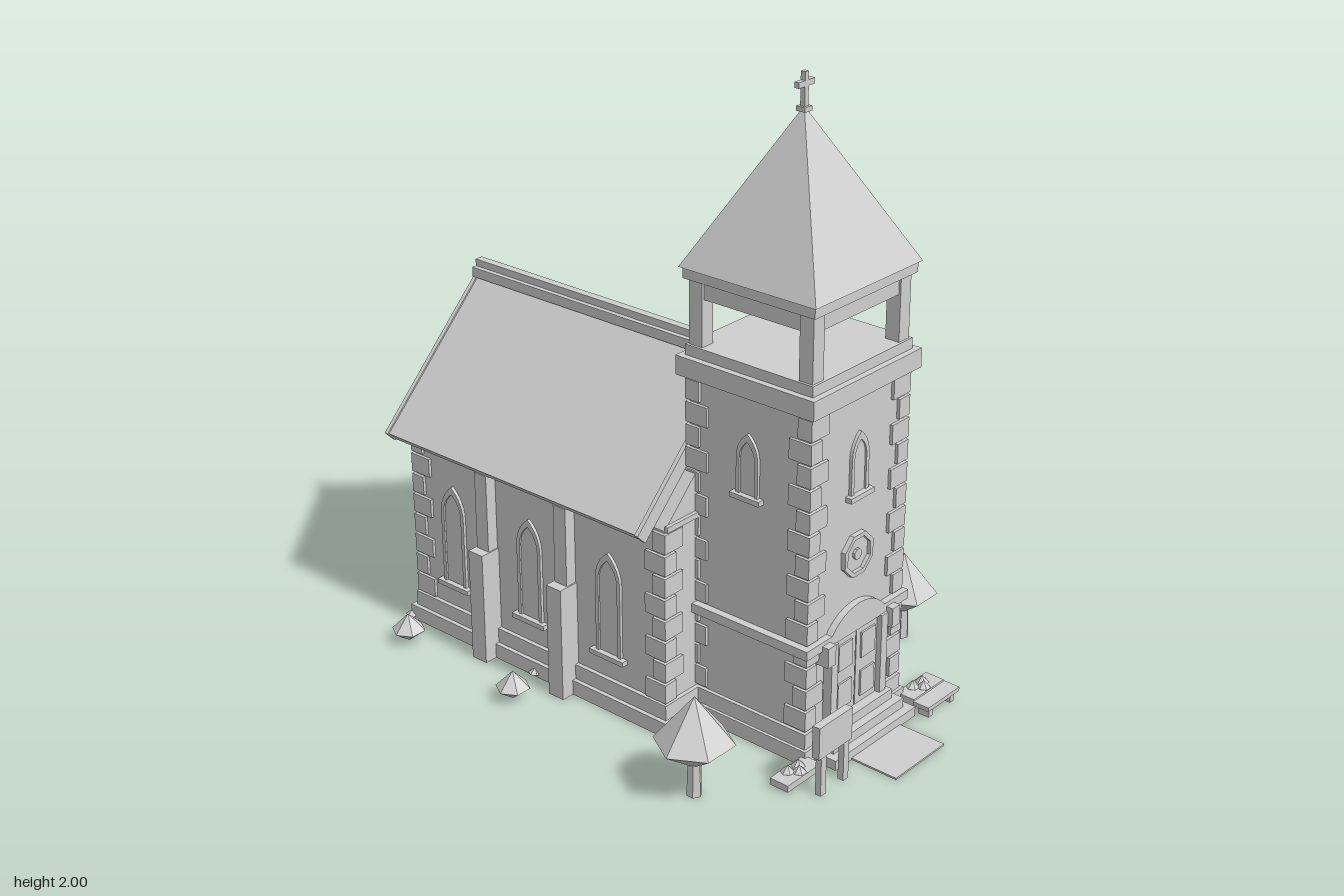
import * as THREE from 'three';

const stone = new THREE.MeshStandardMaterial({ color: 0xcfcfcf, flatShading: true });
stone.name = 'pale stone';

const CX = 0.004; // small sideways offset that centres the whole plot

function add(parent, name, geo, x = 0, y = 0, z = 0, ry = 0) {
  const m = new THREE.Mesh(geo, stone);
  m.name = name;
  m.position.set(x, y, z);
  m.rotation.y = ry;
  parent.add(m);
  return m;
}

// box given by its min and max on each axis
function box(parent, name, x0, x1, y0, y1, z0, z1) {
  return add(parent, name, new THREE.BoxGeometry(x1 - x0, y1 - y0, z1 - z0),
    (x0 + x1) / 2, (y0 + y1) / 2, (z0 + z1) / 2);
}

function group(parent, name, x = 0, y = 0, z = 0, ry = 0) {
  const g = new THREE.Group();
  g.name = name;
  g.position.set(x, y, z);
  g.rotation.y = ry;
  parent.add(g);
  return g;
}

const polygon = pts => new THREE.Shape(pts.map(p => new THREE.Vector2(p[0], p[1])));
const extrude = (shape, depth) =>
  new THREE.ExtrudeGeometry(shape, { depth, bevelEnabled: false, curveSegments: 6 });

// alternating long and short corner stones
function quoins(parent, x0, x1, z0, z1, yBase, count, step) {
  const g = group(parent, 'quoins');
  const out = 0.01;
  for (let i = 0; i < count; i++) {
    const [a, b] = i % 2 ? [0.08, 0.05] : [0.05, 0.08];
    for (const [cx, sx] of [[x0, 1], [x1, -1]]) {
      for (const [cz, sz] of [[z0, 1], [z1, -1]]) {
        add(g, 'cornerStone', new THREE.BoxGeometry(a, step * 0.88, b),
          cx + sx * (a / 2 - out), yBase + (i + 0.5) * step, cz + sz * (b / 2 - out));
      }
    }
  }
}

// pointed window outline
function lancetShape(w, h) {
  const r = w / 2, s = h - w;
  const p = new THREE.Shape();
  p.moveTo(-r, 0);
  p.lineTo(r, 0);
  p.lineTo(r, s);
  p.quadraticCurveTo(r, s + w * 0.6, 0, h);
  p.quadraticCurveTo(-r, s + w * 0.6, -r, s);
  return p;
}

// window with frame, pane and sill; y is the sill height
function lancet(parent, x, y, z, ry, w, h) {
  const g = group(parent, 'lancetWindow', x, y, z, ry);
  const frame = lancetShape(w, h);
  const inner = lancetShape(w - 0.025, h - 0.025);
  frame.holes.push(new THREE.Path(inner.getPoints(6)));
  add(g, 'frame', extrude(frame, 0.01));
  add(g, 'pane', extrude(inner, 0.004));
  box(g, 'sill', -w * 0.68, w * 0.68, -0.008, 0.008, 0, 0.022);
}

// round window with spokes
function roundWindow(parent, x, y, z, ry, r, sides, spokes) {
  const g = group(parent, 'roundWindow', x, y, z, ry);
  const ring = (rad) => Array.from({ length: sides }, (_, i) => {
    const a = (i + 0.5) / sides * Math.PI * 2;
    return [Math.cos(a) * rad, Math.sin(a) * rad];
  });
  const outer = polygon(ring(r));
  outer.holes.push(polygon(ring(r * 0.8)));
  add(g, 'ring', extrude(outer, 0.016));
  add(g, 'pane', extrude(polygon(ring(r * 0.82)), 0.004));
  add(g, 'hub', extrude(polygon(ring(r * 0.25)), 0.012));
  for (let i = 0; i < spokes; i++) {
    const s = add(g, 'spoke', new THREE.BoxGeometry(0.007, r * 1.7, 0.014), 0, 0, 0.003);
    s.rotation.z = i / spokes * Math.PI;
  }
}

// six-sided double cone
function gem(parent, name, x, z, r, y0, yMid, y1) {
  const pts = [[0, y0], [r, yMid], [0, y1]].map(p => new THREE.Vector2(...p));
  return add(parent, name, new THREE.LatheGeometry(pts, 6), x, 0, z, Math.PI / 6);
}

function buildNave(root) {
  const g = group(root, 'nave', CX);
  const W = 0.365, Z0 = -0.832, Z1 = 0.22;
  // walls stand on the plinth, whose underside is open
  const wall = polygon([[-W, 0.06], [W, 0.06], [W, 0.675], [0, 1.04], [-W, 0.675]]);
  add(g, 'naveWalls', extrude(wall, Z1 - Z0), 0, 0, Z0);
  for (const [o, y0, y1] of [[0.028, 0, 0.05], [0.014, 0.05, 0.1]]) {
    for (const s of [-1, 1]) {
      const a = s * W, b = s * (W + o);
      box(g, 'plinthSide', Math.min(a, b), Math.max(a, b), y0, y1, Z0 - o, Z1 + o);
    }
    box(g, 'plinthBack', -W, W, y0, y1, Z0 - o, Z0);
    box(g, 'plinthFront', -W, W, y0, y1, Z1, Z1 + o);
  }
  quoins(g, -W, W, Z0, Z1, 0.1, 8, 0.0715);
  box(g, 'gableBand', -W, W, 0.672, 0.69, Z0 - 0.012, Z0);
  box(g, 'gableBand', -W, W, 0.672, 0.69, Z1, Z1 + 0.012);

  // steep roof with raised verges and ridge cap
  const chevron = (x, t) => polygon([[-x, 1.1 - x], [-x + t / 2, 1.1 - x - t / 2],
    [0, 1.1 - t], [x - t / 2, 1.1 - x - t / 2], [x, 1.1 - x], [0, 1.1]]);
  add(g, 'naveRoof', extrude(chevron(0.43, 0.06), 1.055), 0, 0, -0.883);
  for (const z of [-0.893, 0.166]) add(g, 'vergeBoard', extrude(chevron(0.436, 0.066), 0.014), 0, 0.007, z);
  box(g, 'ridgeCap', -0.03, 0.03, 1.08, 1.112, -0.893, 0.18);
  box(g, 'ridgeRoll', -0.014, 0.014, 1.112, 1.135, -0.893, 0.18);

  // side windows and buttresses
  for (const s of [-1, 1]) {
    for (const z of [0, -0.33, -0.665]) lancet(g, s * W, 0.18, z, s * Math.PI / 2, 0.1, 0.35);
    for (const z of [-0.165, -0.5]) {
      const xs = (a, b) => s > 0 ? [a, b] : [-b, -a];
      box(g, 'buttressLower', ...xs(0.35, 0.437), 0, 0.38, z - 0.03, z + 0.03);
      box(g, 'buttressUpper', ...xs(0.35, 0.404), 0.38, 0.64, z - 0.025, z + 0.025);
    }
  }
  // back wall
  lancet(g, 0, 0.18, Z0, Math.PI, 0.11, 0.4);
  roundWindow(g, 0, 0.81, Z0, Math.PI, 0.105, 16, 5);
}

function buildTower(root) {
  const g = group(root, 'tower', CX, 0, 0.412);
  const H = 0.22;
  box(g, 'towerWalls', -H, H, 0.015, 1.12, -H, H);
  for (const [o, y0, y1] of [[0.022, 0, 0.05], [0.012, 0.05, 0.1]]) {
    for (const s of [-1, 1]) {
      box(g, 'plinthSide', s * (H + o / 2) - o / 2, s * (H + o / 2) + o / 2, y0, y1, -H, H + o);
    }
    box(g, 'plinthFront', -H, H, y0, y1, H, H + o);
  }
  quoins(g, -H, H, -H, H, 0.105, 14, 0.0715);
  box(g, 'stringCourse', -0.245, 0.245, 0.358, 0.388, -H, 0.242);
  box(g, 'cornice', -0.25, 0.25, 1.115, 1.175, -0.25, 0.25);

  // open belfry
  box(g, 'belfryFloor', -0.23, 0.23, 1.175, 1.208, -0.23, 0.23);
  for (const s of [-1, 1]) {
    box(g, 'topBeam', -0.2, 0.2, 1.352, 1.41, s * 0.2 - 0.015, s * 0.2 + 0.015);
    box(g, 'topBeam', s * 0.2 - 0.015, s * 0.2 + 0.015, 1.352, 1.41, -0.2, 0.2);
    for (const t of [-1, 1]) {
      box(g, 'belfryPost', s * 0.198 - 0.024, s * 0.198 + 0.024, 1.2, 1.412, t * 0.198 - 0.024, t * 0.198 + 0.024);
    }
  }
  box(g, 'bellBeam', -0.2, 0.2, 1.352, 1.375, -0.012, 0.012);
  box(g, 'spireBase', -0.235, 0.235, 1.408, 1.445, -0.235, 0.235);
  add(g, 'spire', new THREE.ConeGeometry(0.244 * Math.SQRT2, 0.46, 4), 0, 1.672, 0, Math.PI / 4);
  box(g, 'crossFoot', -0.016, 0.016, 1.888, 1.902, -0.016, 0.016);
  box(g, 'crossUpright', -0.008, 0.008, 1.89, 2, -0.008, 0.008);
  box(g, 'crossArm', -0.035, 0.035, 1.958, 1.975, -0.008, 0.008);

  // windows
  roundWindow(g, 0, 0.603, H, 0, 0.072, 8, 0);
  lancet(g, 0, 0.795, H, 0, 0.08, 0.2);
  lancet(g, H, 0.42, 0, Math.PI / 2, 0.08, 0.24);
  lancet(g, -H, 0.795, 0, -Math.PI / 2, 0.08, 0.2);

  // portal and double door
  const p = group(g, 'portal', 0, 0, H);
  for (const s of [-1, 1]) {
    box(p, 'doorJamb', s * 0.12 - 0.015, s * 0.12 + 0.015, 0.06, 0.36, 0, 0.03);
    box(p, 'bracket', s * 0.155 - 0.018, s * 0.155 + 0.018, 0.31, 0.375, 0, 0.045);
    box(p, 'doorLeaf', s * 0.052 - 0.05, s * 0.052 + 0.05, 0.09, 0.355, 0, 0.014);
    for (const y of [0.12, 0.25]) box(p, 'doorPanel', s * 0.055 - 0.033, s * 0.055 + 0.033, y, y + 0.085, 0.014, 0.02);
  }
  const arch = new THREE.Shape();
  arch.moveTo(-0.13, 0.385);
  arch.lineTo(0.13, 0.385);
  arch.quadraticCurveTo(0.08, 0.445, 0, 0.447);
  arch.quadraticCurveTo(-0.08, 0.445, -0.13, 0.385);
  add(p, 'doorArch', extrude(arch, 0.022));
  // steps and path
  [[0.197, 0.1], [0.172, 0.072], [0.148, 0.045]].forEach(([w, d], i) =>
    box(p, 'step', -w, w, i * 0.032, (i + 1) * 0.032, 0, d));
  box(p, 'path', -0.12, 0.12, 0, 0.006, 0.06, 0.261);
}

function buildGrounds(root) {
  const g = group(root, 'grounds', CX);
  for (const [x, z, r, y0, ym, y1] of [[-0.555, 0.498, 0.121, 0.09, 0.178, 0.325], [0.56, 0.416, 0.11, 0.085, 0.165, 0.3]]) {
    gem(g, 'treeCrown', x, z, r, y0, ym, y1);
    add(g, 'treeTrunk', new THREE.CylinderGeometry(0.02, 0.024, 0.12, 6), x, 0.06, z);
  }
  for (const [x, z] of [[-0.5, -0.757], [-0.53, -0.257], [0.55, -0.643]]) gem(g, 'bush', x, z, 0.055, 0.002, 0.042, 0.098);
  for (const s of [-1, 1]) {
    for (const z of [0.245, -0.3, -0.86]) gem(g, 'cornerPebble', s * 0.39, z, 0.022, 0, 0.012, 0.03);
    // flower beds beside the steps
    box(g, 'flowerBed', s * 0.307 - 0.078, s * 0.307 + 0.078, 0.008, 0.03, 0.638, 0.704);
    for (const [dx, dz] of [[-0.022, -0.012], [0, 0.014], [0.022, -0.008]]) {
      gem(g, 'flower', s * 0.307 + dx, 0.67 + dz, 0.022, 0.015, 0.032, 0.055);
    }
  }
  // bench
  box(g, 'benchSeat', 0.2, 0.362, 0.03, 0.044, 0.722, 0.778);
  for (const x of [0.225, 0.337]) box(g, 'benchLeg', x - 0.01, x + 0.01, 0, 0.03, 0.73, 0.77);
  // notice board
  box(g, 'noticeBoard', -0.345, -0.192, 0.13, 0.235, 0.757, 0.783);
  for (const x of [-0.318, -0.212]) box(g, 'boardPost', x - 0.012, x + 0.012, 0, 0.14, 0.76, 0.78);
}

export function createModel() {
  const root = new THREE.Group();
  root.name = 'chapel';
  buildNave(root);
  buildTower(root);
  buildGrounds(root);
  return root;
}
